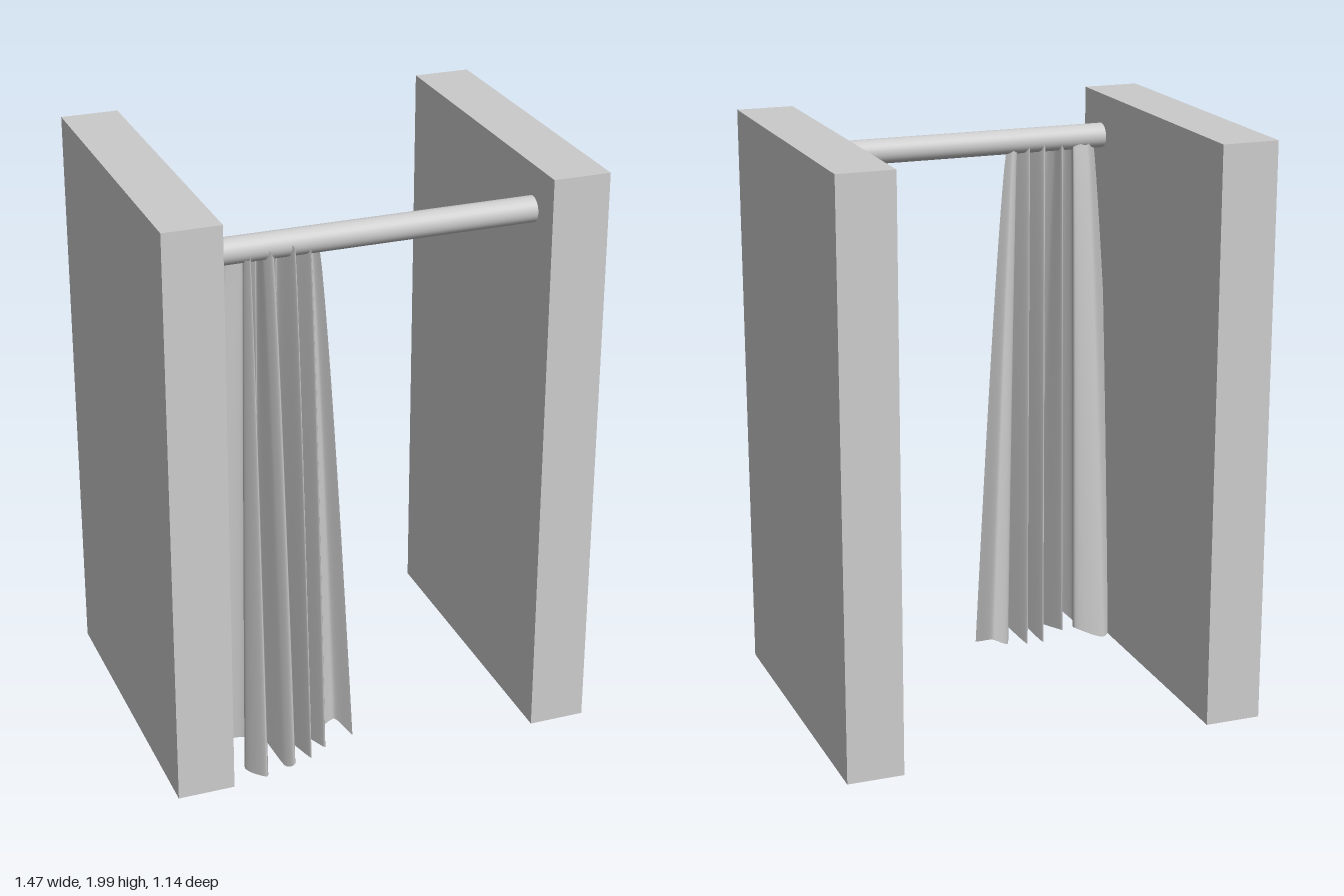
import * as THREE from 'three';

// Fold lines of the cloth from right to left: [x, z] at the hem and at the rod
const HEM = [
  [-0.60, 0.33], [-0.515, 0.265], [-0.42, 0.32], [-0.47, 0.45], [-0.43, 0.565], [-0.39, 0.44],
  [-0.37, 0.31], [-0.34, 0.48], [-0.315, 0.52], [-0.29, 0.295], [-0.255, 0.515], [-0.23, 0.30],
  [-0.19, 0.47], [-0.165, 0.33], [-0.10, 0.315], [-0.06, 0.39],
];
const HEAD = [
  [-0.50, 0.39], [-0.47, 0.36], [-0.42, 0.37], [-0.435, 0.42], [-0.425, 0.455], [-0.41, 0.41],
  [-0.375, 0.36], [-0.37, 0.41], [-0.35, 0.455], [-0.31, 0.36], [-0.28, 0.455], [-0.255, 0.36],
  [-0.225, 0.44], [-0.215, 0.38], [-0.20, 0.37], [-0.18, 0.39],
];

const foldLine = (pts) =>
  new THREE.CatmullRomCurve3(pts.map(([x, z]) => new THREE.Vector3(x, 0, z)), false, 'catmullrom', 0.3);

// Draped sheet: blends the gathered head line into the wider hem line
function curtainGeometry() {
  const cols = 120, rows = 24;
  const hem = foldLine(HEM), head = foldLine(HEAD);
  const geo = new THREE.PlaneGeometry(1, 1, cols, rows);
  const pos = geo.attributes.position;
  for (let r = 0; r <= rows; r++) {
    const t = r / rows;
    const spread = Math.pow(t, 0.8);
    for (let c = 0; c <= cols; c++) {
      const u = c / cols;
      const p = head.getPoint(u).lerp(hem.getPoint(u), spread);
      const top = 1.85 + 0.02 * Math.cos(u * 40);
      const bottom = 0.02 + 0.015 * Math.cos(u * 47);
      pos.setXYZ(r * (cols + 1) + c, p.x, top + (bottom - top) * t, p.z);
    }
  }
  geo.computeVertexNormals();
  return geo;
}

export function createModel() {
  const group = new THREE.Group();
  const grey = new THREE.MeshStandardMaterial({ color: 0xcccccc });
  const cloth = new THREE.MeshStandardMaterial({ color: 0xcccccc, side: THREE.DoubleSide });
  const add = (name, geo, mat, x, y, z) => {
    const mesh = new THREE.Mesh(geo, mat);
    mesh.name = name;
    mesh.position.set(x, y, z);
    group.add(mesh);
    return mesh;
  };

  // Side walls
  for (const [name, s] of [['leftWall', 1], ['rightWall', -1]]) {
    add(name, new THREE.BoxGeometry(0.193, 1.99, 1.122), grey, s * 0.636, 1.005, -0.013);
  }

  // Rod spanning the walls
  const rod = add('curtainRod', new THREE.CylinderGeometry(0.043, 0.043, 1.09, 32), grey, 0, 1.854, 0.4);
  rod.rotation.z = Math.PI / 2;

  // Gathered curtain
  add('curtain', curtainGeometry(), cloth, 0, 0, 0);

  return group;
}
